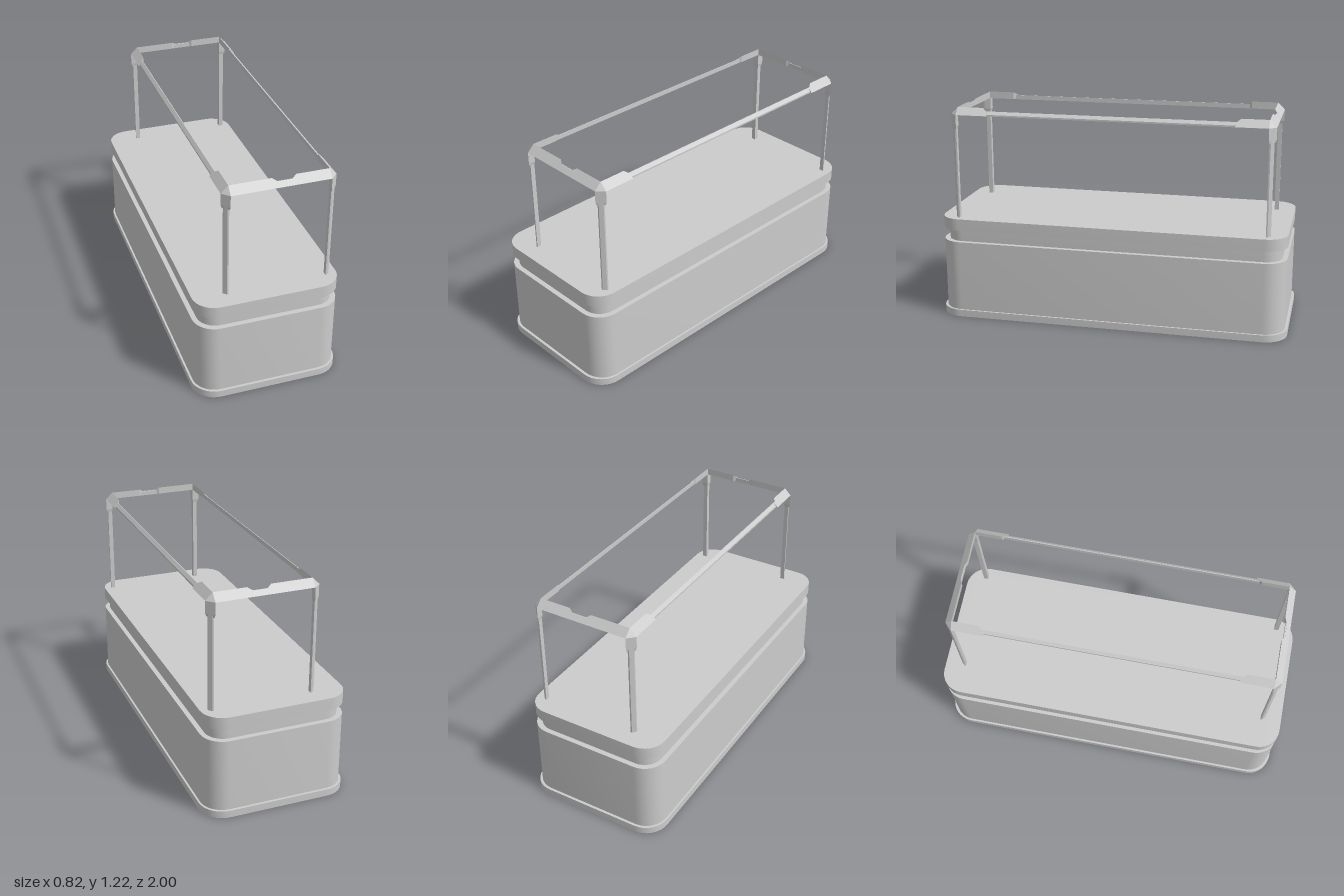
import * as THREE from 'three';
import { toCreasedNormals } from 'three/addons/utils/BufferGeometryUtils.js';

const smoothMat = new THREE.MeshStandardMaterial({ color: 0xcccccc });
const flatMat = new THREE.MeshStandardMaterial({ color: 0xcccccc, flatShading: true });

// Inner corner of the frame: centre x, half width, half length, height
const CX = 0.0615, HX = 0.266, HZ = 0.865, Y = 1.177;
const S = 0.039; // leg of the sloped corner covers
const BASE_TOP = 0.583;

// Upright slab with rounded corners
function slab(name, hx, hz, r, y0, y1) {
  const s = new THREE.Shape();
  s.moveTo(-hx + r, -hz);
  s.lineTo(hx - r, -hz);
  s.absarc(hx - r, -hz + r, r, -Math.PI / 2, 0);
  s.absarc(hx - r, hz - r, r, 0, Math.PI / 2);
  s.absarc(-hx + r, hz - r, r, Math.PI / 2, Math.PI);
  s.absarc(-hx + r, -hz + r, r, Math.PI, Math.PI * 1.5);
  let g = new THREE.ExtrudeGeometry(s, { depth: y1 - y0, bevelEnabled: false, curveSegments: 4 });
  g.rotateX(-Math.PI / 2);
  g.translate(0, y0, 0);
  g = toCreasedNormals(g, 0.6);
  const m = new THREE.Mesh(g, smoothMat);
  m.name = name;
  return m;
}

// Loft of cross-sections: stations are [t, [[a, b], ...]], place maps (a, b, t) to a point
function loft(name, stations, place) {
  const pos = [], index = [];
  const n = stations[0][1].length;
  const o = new THREE.Vector3(...place(0, 0, 0));
  const [ea, eb, et] = [[1, 0, 0], [0, 1, 0], [0, 0, 1]].map(
    (e) => new THREE.Vector3(...place(...e)).sub(o));
  const dir = stations[stations.length - 1][0] - stations[0][0];
  const flip = ea.cross(eb).dot(et) * dir < 0;
  const tri = (a, b, c) => (flip ? index.push(a, c, b) : index.push(a, b, c));
  for (const [t, pts] of stations) for (const [a, b] of pts) pos.push(...place(a, b, t));
  const last = (stations.length - 1) * n;
  for (let k = 0; k < last; k += n) {
    for (let i = 0; i < n; i++) {
      const j = (i + 1) % n;
      tri(k + i, k + j, k + n + j);
      tri(k + i, k + n + j, k + n + i);
    }
  }
  for (let i = 1; i < n - 1; i++) {
    tri(0, i + 1, i);
    tri(last, last + i, last + i + 1);
  }
  let g = new THREE.BufferGeometry();
  g.setAttribute('position', new THREE.Float32BufferAttribute(pos, 3));
  g.setIndex(index);
  g = g.toNonIndexed();
  g.computeVertexNormals();
  const m = new THREE.Mesh(g, flatMat);
  m.name = name;
  return m;
}

// Triangular cover section whose sloped face stays in one plane; h is its height
const cover = (h) => [[S - h, 0], [S, 0], [S - h, h]];
// Square rods with the outer corner cut off
const postSection = [[0.003, 0.003], [0.028, 0.003], [0.028, 0.011], [0.011, 0.028], [0.003, 0.028]];
const railSection = [[0.008, -0.003], [0.028, -0.003], [0.028, 0.006], [0.012, 0.022], [0.008, 0.022]];

export function createModel() {
  const model = new THREE.Group();
  model.name = 'counterWithFrame';

  // Base
  model.add(
    slab('plinth', 0.408, 1.0, 0.13, 0, 0.04),
    slab('body', 0.397, 0.985, 0.12, 0.04, 0.447),
    slab('recessedNeck', 0.37, 0.957, 0.1, 0.447, 0.515),
    slab('countertop', 0.397, 0.985, 0.12, 0.515, BASE_TOP),
  );

  const frame = new THREE.Group();
  frame.name = 'frame';
  model.add(frame);

  // Cross rails at both ends, covers notched in the middle
  for (const sz of [1, -1]) {
    const place = (a, b, t) => [t, Y + b, sz * (HZ + a)];
    const x0 = CX - HX, x1 = CX + HX;
    frame.add(loft('crossRail', [[x0, railSection], [x1, railSection]], place));
    frame.add(loft('crossRailCover', [
      [x0, cover(S)], [0.02, cover(S)], [0.046, cover(0.024)],
      [0.122, cover(0.024)], [0.148, cover(S)], [x1, cover(S)],
    ], place));
  }

  for (const sx of [1, -1]) {
    // Long side rails
    const rail = (a, b, t) => [CX + sx * (HX + a), Y + b, t];
    frame.add(loft('sideRail', [[-HZ, railSection], [HZ, railSection]], rail));

    for (const sz of [1, -1]) {
      // Short covers on the rail ends
      frame.add(loft('sideRailCover', [
        [sz * HZ, cover(S)], [sz * 0.716, cover(S)], [sz * 0.688, cover(0.02)],
      ], rail));

      // Post with its sleeve
      const post = (a, b, t) => [CX + sx * (HX + a), t, sz * (HZ + b)];
      frame.add(loft('post', [[BASE_TOP - 0.01, postSection], [Y, postSection]], post));
      frame.add(loft('postSleeve', [
        [Y, [[0, 0], [S, 0], [0, S]]],
        [1.112, [[0, 0], [S, 0], [0, S]]],
        [1.095, [[0.003, 0.003], [0.033, 0.003], [0.003, 0.033]]],
      ], post));

      // Corner cap joining the three covers
      const tiny = 1e-4;
      frame.add(loft('cornerCap', [
        [Y, [[0, 0], [S, 0], [0, S]]],
        [Y + S, [[0, 0], [tiny, 0], [0, tiny]]],
      ], post));
    }
  }
  return model;
}
